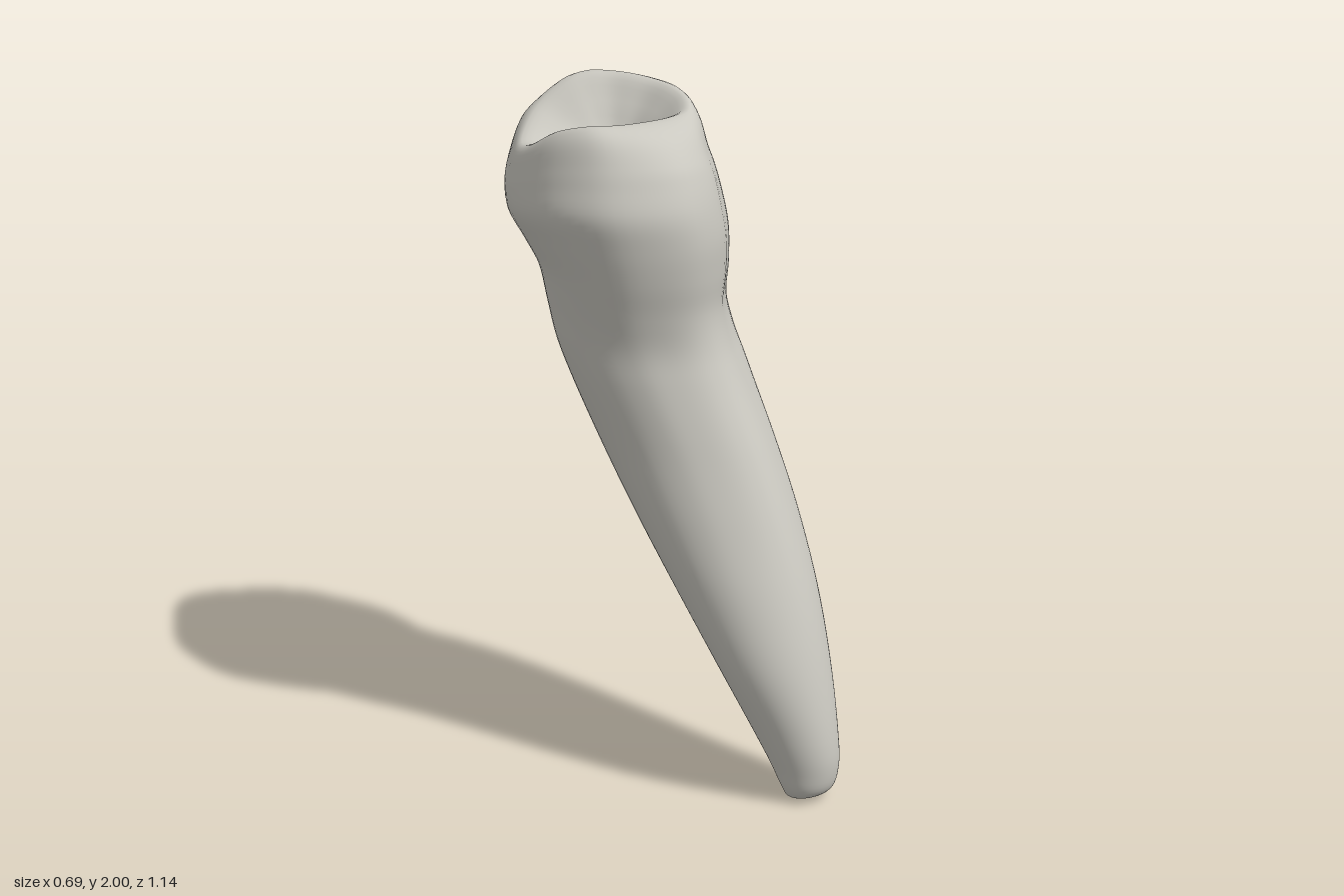
import * as THREE from 'three';
import { mergeVertices } from 'three/addons/utils/BufferGeometryUtils.js';

const COLUMNS = 72, STEPS = 5;

// Root and crown levels: y, then the x and z extents at that height
const LEVELS = [
  [0.004, 0.08, 0.17, 0.425, 0.5],
  [0.035, 0.055, 0.208, 0.405, 0.55],
  [0.1, 0.035, 0.228, 0.365, 0.568],
  [0.2, 0, 0.238, 0.31, 0.566],
  [0.4, -0.07, 0.262, 0.2, 0.53],
  [0.6, -0.115, 0.29, 0.06, 0.475],
  [0.8, -0.15, 0.315, -0.075, 0.405],
  [1.0, -0.185, 0.33, -0.2, 0.325],
  [1.2, -0.235, 0.326, -0.29, 0.24],
  [1.3, -0.255, 0.313, -0.335, 0.207],
  [1.4, -0.272, 0.308, -0.39, 0.195],
  [1.5, -0.292, 0.33, -0.44, 0.205],
  [1.6, -0.322, 0.34, -0.49, 0.215],
  [1.69, -0.345, 0.335, -0.54, 0.21],
  [1.77, -0.33, 0.322, -0.567, 0.185],
  [1.82, -0.317, 0.305, -0.555, 0.16],
];

// Crown outline from above (x, z), starting at the back and passing over +x
const OUTLINE = [
  [-0.03, -0.57], [0.1, -0.535], [0.22, -0.467], [0.31, -0.375],
  [0.345, -0.25], [0.32, -0.14], [0.24, -0.02], [0.15, 0.08],
  [0.05, 0.17], [-0.08, 0.21], [-0.2, 0.17], [-0.3, 0.07],
  [-0.345, -0.1], [-0.31, -0.3], [-0.23, -0.435], [-0.13, -0.53],
];

// Chewing rim with its cusps (x, y, z), matching the outline point by point
const RIM = [
  [0.0, 1.978, -0.43], [0.06, 2.0, -0.405], [0.11, 2.0, -0.36], [0.145, 1.995, -0.3],
  [0.17, 1.985, -0.235], [0.175, 1.975, -0.165], [0.16, 1.955, -0.09], [0.11, 1.93, -0.03],
  [0.03, 1.922, -0.005], [-0.07, 1.92, 0], [-0.16, 1.92, -0.01], [-0.23, 1.92, -0.05],
  [-0.26, 1.895, -0.15], [-0.245, 1.84, -0.28], [-0.2, 1.835, -0.38], [-0.1, 1.905, -0.44],
];

const APEX = new THREE.Vector3(0.125, 0, 0.462);
const PIT = new THREE.Vector3(0.0, 1.8, -0.21);
const { smoothstep, lerp } = THREE.MathUtils;

const closedCurve = (points) => new THREE.CatmullRomCurve3(points, true, 'catmullrom', 0.5);

// One vertical column of the tooth, from root tip over the rim into the pit
function columnCurve(outline, rimPoint) {
  const u = outline.x / 0.345, v = (outline.z + 0.18) / 0.39;
  const r = Math.hypot(u, v);
  const rightLean = Math.max(0, -u) * v / (r * r);
  const backBulge = Math.max(0, u) * Math.max(0, -v) / (r * r);
  // the crown is squashed where the rim is low
  const squash = Math.min(1, (rimPoint.y - 1.5) / 0.42);
  const points = [APEX.clone()];
  for (const [y, x0, x1, z0, z1] of LEVELS) {
    // the round root turns gradually into the angular crown outline
    const k = smoothstep(y, 0.4, 1.4);
    const upperRoot = smoothstep(y, 0.4, 1) * (1 - smoothstep(y, 1.25, 1.5));
    const belly = Math.exp(-(((y - 1.54) / 0.1) ** 2));
    const s = (k + (1 - k) / r) * (1 - 0.25 * rightLean * upperRoot + 0.16 * backBulge * belly);
    points.push(new THREE.Vector3(
      (x0 + x1) / 2 + u * s * (x1 - x0) / 2,
      y > 1.5 ? 1.5 + (y - 1.5) * squash : y,
      (z0 + z1) / 2 + v * s * (z1 - z0) / 2));
  }
  const shoulder = points[points.length - 1].clone().lerp(rimPoint, 0.44);
  shoulder.y += 0.03 * squash;
  points.push(shoulder, rimPoint);
  // rounded inner slopes: how far in, and how far down
  for (const [inward, down] of [[0.35, 0.38], [0.7, 0.86]]) {
    const p = rimPoint.clone().lerp(PIT, inward);
    p.y = lerp(rimPoint.y, PIT.y, down);
    points.push(p);
  }
  points.push(PIT.clone());
  return new THREE.CatmullRomCurve3(points);
}

function toothGeometry() {
  const outline = closedCurve(OUTLINE.map(([x, z]) => new THREE.Vector3(x, 0, z)));
  const rim = closedCurve(RIM.map((p) => new THREE.Vector3(...p)));
  const rows = (LEVELS.length + 5) * STEPS;
  const positions = [], index = [];
  for (let j = 0; j < COLUMNS; j++) {
    const t = j / COLUMNS;
    const curve = columnCurve(outline.getPoint(t), rim.getPoint(t));
    for (let i = 0; i <= rows; i++) {
      const p = curve.getPoint(i / rows);
      positions.push(p.x, Math.max(p.y, 0), p.z);
    }
  }
  const at = (i, j) => (j % COLUMNS) * (rows + 1) + i;
  for (let j = 0; j < COLUMNS; j++) {
    for (let i = 0; i < rows; i++) {
      const a = at(i, j), b = at(i, j + 1), c = at(i + 1, j), d = at(i + 1, j + 1);
      if (i > 0) index.push(a, c, b);
      if (i < rows - 1) index.push(b, c, d);
    }
  }
  const geometry = new THREE.BufferGeometry();
  geometry.setAttribute('position', new THREE.Float32BufferAttribute(positions, 3));
  geometry.setIndex(index);
  // weld the root tip and the pit
  const welded = mergeVertices(geometry, 1e-5);
  welded.computeVertexNormals();
  return welded;
}

export function createModel() {
  const enamel = new THREE.MeshStandardMaterial({ color: 0xcac8c0 });
  enamel.name = 'enamel';
  const tooth = new THREE.Mesh(toothGeometry(), enamel);
  tooth.name = 'tooth';
  const group = new THREE.Group();
  group.name = 'toothModel';
  group.add(tooth);
  return group;
}
